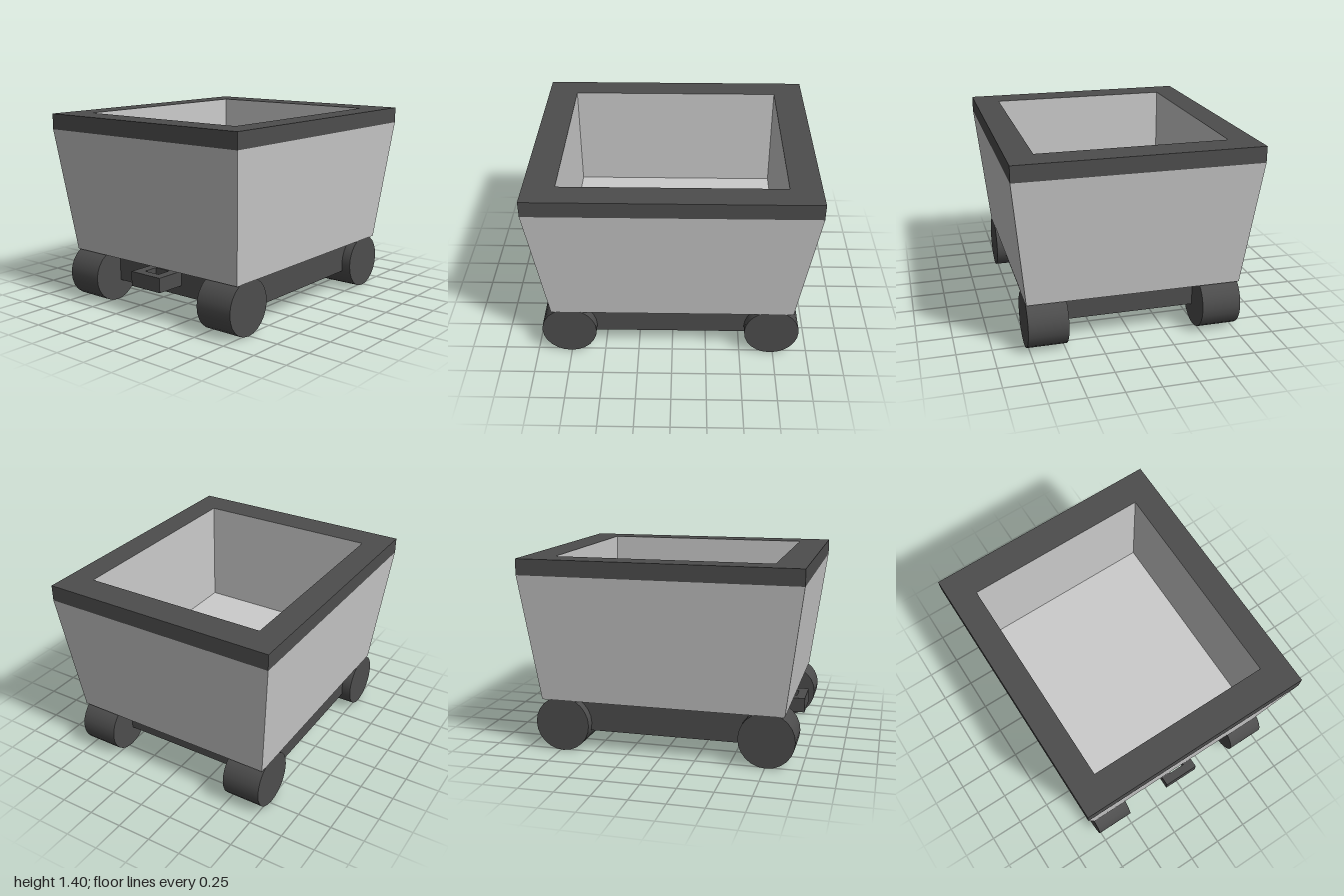
import * as THREE from 'three';

const grey = new THREE.MeshStandardMaterial({ color: 0xcccccc });
const dark = new THREE.MeshStandardMaterial({ color: 0x4d4d4d });

// Joins rectangular rings [halfX, halfZ, y] with flat faces; a zero-size ring closes an end
function loftRings(rings) {
  const corners = [[1, 1], [1, -1], [-1, -1], [-1, 1]];
  const point = ([hx, hz, y], i) => [hx * corners[i % 4][0], y, hz * corners[i % 4][1]];
  const pos = [];
  for (let r = 0; r < rings.length - 1; r++) {
    const [lo, hi] = [rings[r], rings[r + 1]];
    for (let i = 0; i < 4; i++) {
      const a = point(lo, i), b = point(lo, i + 1), c = point(hi, i + 1), d = point(hi, i);
      if (lo[0] > 0) pos.push(...a, ...b, ...c);
      if (hi[0] > 0) pos.push(...a, ...c, ...d);
      else if (lo[0] === 0) continue;
    }
  }
  const geo = new THREE.BufferGeometry();
  geo.setAttribute('position', new THREE.Float32BufferAttribute(pos, 3));
  geo.computeVertexNormals();
  return geo;
}

export function createModel() {
  const cart = new THREE.Group();
  cart.name = 'mineCart';

  const add = (name, geometry, material, x = 0, y = 0, z = 0) => {
    const mesh = new THREE.Mesh(geometry, material);
    mesh.name = name;
    mesh.position.set(x, y, z);
    cart.add(mesh);
    return mesh;
  };

  // Tapered tub with straight inner walls and a raised floor
  add('tubOuter', loftRings([[0, 0, 0.375], [0.77, 0.88, 0.375], [0.865, 1, 1.29]]), grey);
  add('tubInner', loftRings([[0.675, 0.78, 1.405], [0.675, 0.78, 0.61], [0, 0, 0.61]]), grey);

  // Dark band around the top
  add('rim', loftRings([[0.865, 1, 1.29], [0.865, 1, 1.405], [0.675, 0.78, 1.405]]), dark);

  // Chassis slab under the tub
  add('chassis', new THREE.BoxGeometry(1.4, 0.23, 1.42), dark, 0, 0.26, 0.01);

  // Wide wheels at the four corners
  const wheel = new THREE.CylinderGeometry(0.2, 0.2, 0.285, 24).rotateZ(Math.PI / 2);
  for (const [end, z] of [['front', 0.757], ['back', -0.73]]) {
    for (const [side, s] of [['Left', 1], ['Right', -1]]) {
      add(`${end}${side}Wheel`, wheel, dark, s * 0.628, 0.2, z);
    }
  }

  // Front coupling: a block with a slot for the pin
  const plate = new THREE.Shape()
    .moveTo(-0.137, -0.945).lineTo(0.137, -0.945).lineTo(0.137, -0.71).lineTo(-0.137, -0.71).closePath();
  plate.holes.push(new THREE.Path()
    .moveTo(-0.065, -0.88).lineTo(-0.065, -0.77).lineTo(0.065, -0.77).lineTo(0.065, -0.88).closePath());
  const coupling = new THREE.ExtrudeGeometry(plate, { depth: 0.107, bevelEnabled: false });
  add('coupling', coupling.rotateX(-Math.PI / 2), dark, 0, 0.22, 0);

  return cart;
}
